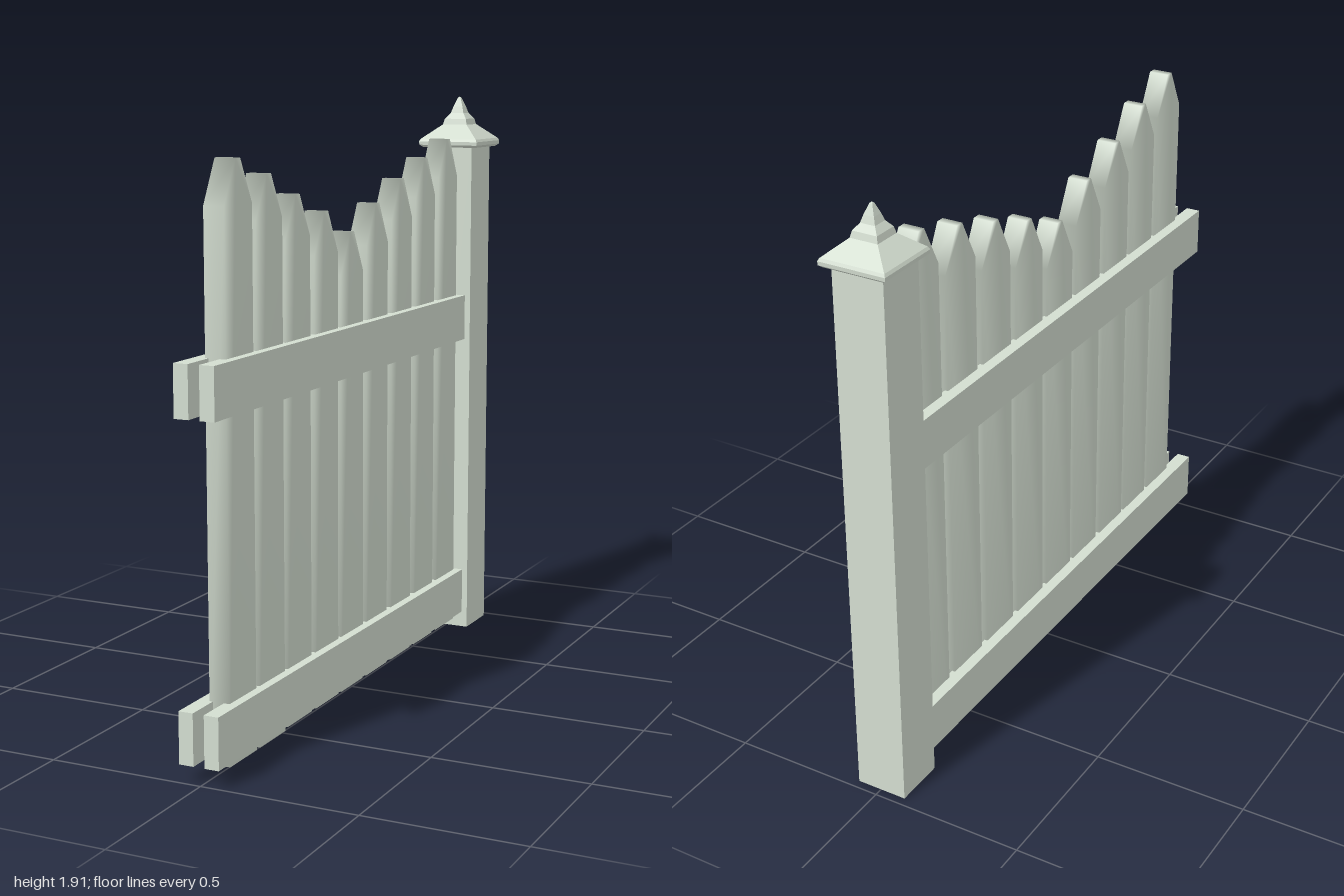
import * as THREE from 'three';
import { mergeVertices } from 'three/addons/utils/BufferGeometryUtils.js';

const paint = new THREE.MeshStandardMaterial({ color: 0xd3ddd0 });
const flatPaint = new THREE.MeshStandardMaterial({ color: 0xd3ddd0, flatShading: true });

// Box given by its lower and upper corners
function box(name, [x0, y0, z0], [x1, y1, z1]) {
  const mesh = new THREE.Mesh(new THREE.BoxGeometry(x1 - x0, y1 - y0, z1 - z0), paint);
  mesh.position.set((x0 + x1) / 2, (y0 + y1) / 2, (z0 + z1) / 2);
  mesh.name = name;
  return mesh;
}

// Board with a blunt pointed top, softly shaded across its edges
function picket(z, bottom, top) {
  const half = 0.081, tip = 0.014, shoulder = top - 0.13, thickness = 0.066;
  const outline = new THREE.Shape([
    [-half, bottom], [half, bottom], [half, shoulder],
    [tip, top], [-tip, top], [-half, shoulder],
  ].map(([x, y]) => new THREE.Vector2(x, y)));
  let geometry = new THREE.ExtrudeGeometry(outline, { depth: thickness, bevelEnabled: false });
  geometry.translate(0, 0, -thickness / 2).rotateY(Math.PI / 2);
  geometry.deleteAttribute('normal');
  geometry.deleteAttribute('uv');
  geometry = mergeVertices(geometry, 1e-4);
  geometry.computeVertexNormals();
  const mesh = new THREE.Mesh(geometry, paint);
  mesh.position.z = z;
  mesh.name = 'picket';
  return mesh;
}

// Square stepped cap: [half width, height] profile turned around four sides
function postCap() {
  const profile = [
    [0, 1.737], [0.098, 1.737], [0.108, 1.745], [0.109, 1.757], [0.104, 1.766],
    [0.045, 1.815], [0.04, 1.835], [0.024, 1.855], [0.017, 1.877], [0.005, 1.908], [0, 1.912],
  ].map(([w, y]) => new THREE.Vector2(w * Math.SQRT2, y));
  const mesh = new THREE.Mesh(new THREE.LatheGeometry(profile, 4, Math.PI / 4), flatPaint);
  mesh.position.z = -0.887;
  mesh.name = 'postCap';
  return mesh;
}

export function createModel() {
  const group = new THREE.Group();
  group.name = 'picketFence';

  // Post
  group.add(box('post', [-0.086, 0, -0.972], [0.081, 1.745, -0.803]), postCap());

  // Pickets dip towards the middle
  const pickets = [
    [0.803, 1.773], [0.62, 1.72], [0.44, 1.65], [0.25, 1.587], [0.066, 1.51],
    [-0.123, 1.587], [-0.316, 1.655], [-0.511, 1.715], [-0.706, 1.77],
  ];
  pickets.forEach(([z, top], i) => group.add(picket(z, i < 2 ? 0.023 : 0.03, top)));

  // Paired rails clamp the pickets
  for (const [y0, y1] of [[0.055, 0.214], [1.06, 1.217]]) {
    group.add(box('leftRail', [0.014, y0, -0.805], [0.061, y1, 1]));
    group.add(box('rightRail', [-0.069, y0, -0.805], [-0.022, y1, 1]));
  }
  return group;
}
